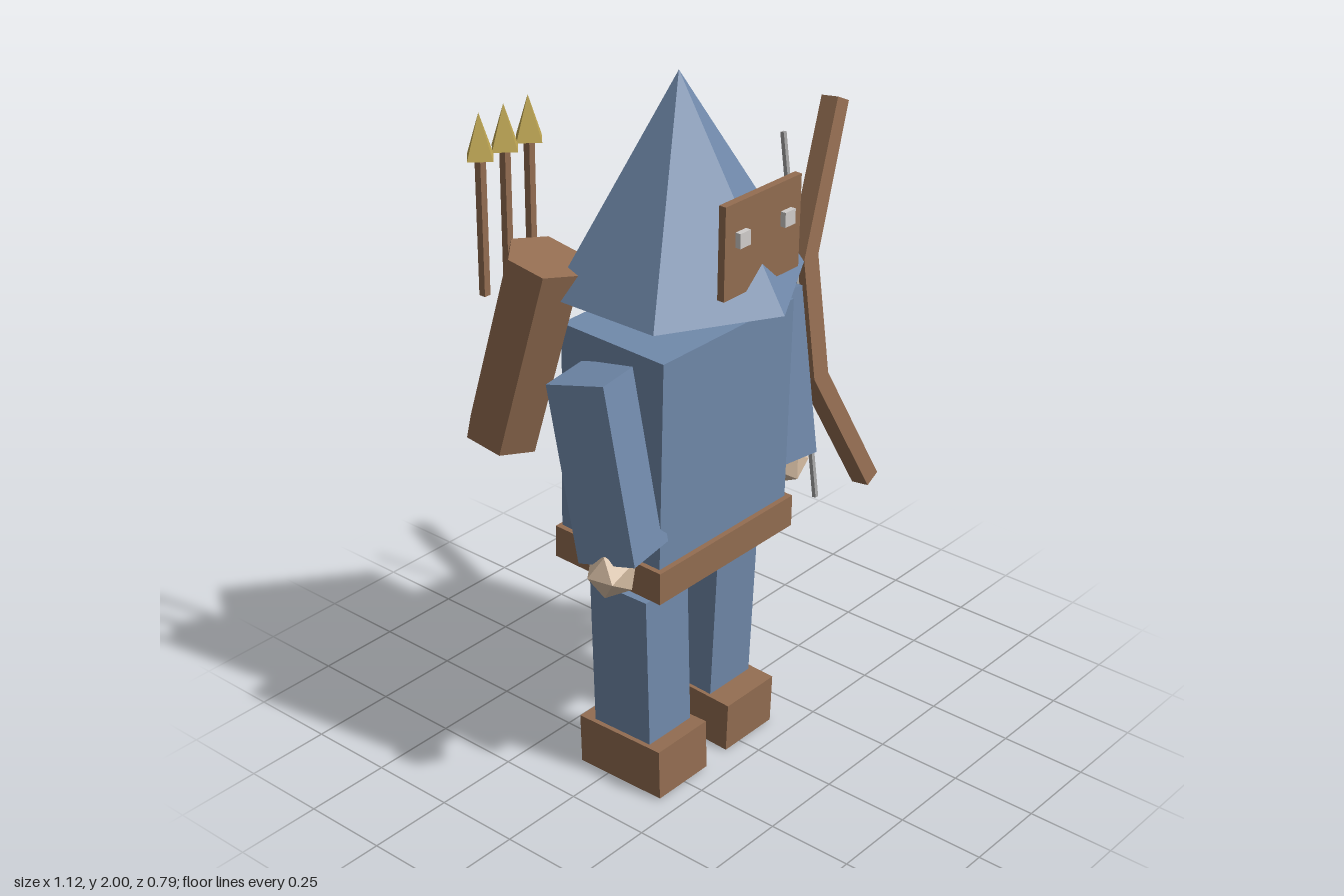
import * as THREE from 'three';

const mat = (name, color) => {
  const m = new THREE.MeshStandardMaterial({ color, flatShading: true });
  m.name = name;
  return m;
};

export function createModel() {
  const model = new THREE.Group();
  model.name = 'hoodedArcher';
  const blue = mat('blueCloth', 0x7089aa);
  const brown = mat('brownLeather', 0x936d51);
  const skin = mat('paleSkin', 0xd6bda3);
  const gold = mat('goldMetal', 0xc2a954);
  const white = mat('eyeWhite', 0xd0cdca);
  const grey = mat('stringGrey', 0xa3a3a3);

  const add = (name, geometry, material, pos, rot = [0, 0, 0]) => {
    const mesh = new THREE.Mesh(geometry, material);
    mesh.name = name;
    mesh.position.set(...pos);
    mesh.rotation.set(...rot);
    model.add(mesh);
    return mesh;
  };
  const box = (name, size, material, pos, rot) =>
    add(name, new THREE.BoxGeometry(...size), material, pos, rot);

  const midX = -0.11;

  // Body and belt, leaning slightly forward
  box('torso', [0.52, 0.6, 0.345], blue, [midX, 1.047, 0.043], [0.03, 0, 0]);
  box('belt', [0.55, 0.094, 0.37], brown, [midX, 0.701, 0.036], [0.02, 0, 0]);

  // Hood: closed six-sided cone
  add('hood', new THREE.ConeGeometry(0.345, 0.565, 6), blue, [midX, 1.7175, 0.053]);

  // Mask and eyes
  box('mask', [0.295, 0.252, 0.021], brown, [midX, 1.627, 0.315], [0.02, 0, 0]);
  for (const s of [-1, 1]) {
    box('eye', [0.04, 0.04, 0.03], white, [midX + s * 0.088, 1.655, 0.327]);
  }

  // Legs and feet, each with its own stride tilt
  box('rightLeg', [0.17, 0.46, 0.2], blue, [-0.26, 0.37, 0.04], [-0.02, 0, 0]);
  box('leftLeg', [0.17, 0.46, 0.195], blue, [0.035, 0.37, 0.026], [0.055, 0, 0]);
  box('rightFoot', [0.198, 0.15, 0.29], brown, [-0.26, 0.078, 0.046], [-0.02, 0, 0]);
  box('leftFoot', [0.198, 0.15, 0.29], brown, [0.038, 0.083, 0.038], [0.045, 0, 0]);

  // Arms and hands
  box('rightArm', [0.17, 0.49, 0.17], blue, [-0.444, 1.05, 0.1], [-0.2, 0.2, 0]);
  box('leftArm', [0.17, 0.49, 0.17], blue, [0.229, 1.05, 0.072], [-0.13, -0.2, 0]);
  add('rightHand', new THREE.IcosahedronGeometry(0.07), skin, [-0.497, 0.778, 0.155], [0, 0.2, 0]);
  add('leftHand', new THREE.IcosahedronGeometry(0.07), skin, [0.272, 0.772, 0.107], [0, -0.2, 0]);

  // Quiver: six-sided prism aimed along its slanted axis
  const top = new THREE.Vector3(-0.385, 1.53, -0.155);
  const bottom = new THREE.Vector3(-0.423, 0.995, -0.297);
  const axis = top.clone().sub(bottom);
  const quiverGeo = new THREE.CylinderGeometry(0.107, 0.105, axis.length(), 6);
  quiverGeo.rotateY(0.18);
  const quiver = add('quiver', quiverGeo, brown, top.clone().add(bottom).multiplyScalar(0.5).toArray());
  quiver.quaternion.setFromUnitVectors(new THREE.Vector3(0, 1, 0), axis.normalize());

  // Arrows
  for (const x of [-0.486, -0.399, -0.312]) {
    box('arrowShaft', [0.02, 0.38, 0.02], brown, [x, 1.615, -0.274], [0.01, 0, 0]);
    add('arrowhead', new THREE.ConeGeometry(0.046, 0.118, 4), gold, [x, 1.857, -0.272]);
  }

  // Bow: bent outline extruded, tilted so the top leans back
  const outline = [
    [0.515, 0.567], [0.56, 0.545], [0.377, 0.165], [0.377, -0.18],
    [0.56, -0.555], [0.512, -0.577], [0.315, -0.18], [0.315, 0.165],
  ];
  const bowGeo = new THREE.ExtrudeGeometry(
    new THREE.Shape(outline.map(([x, y]) => new THREE.Vector2(x, y))),
    { depth: 0.056, bevelEnabled: false });
  bowGeo.translate(0, 0, -0.028);
  add('bow', bowGeo, brown, [0, 1.2, 0.123], [-0.13, 0, 0]);
  box('bowString', [0.012, 1.06, 0.012], grey, [0.311, 1.193, 0.122], [-0.13, 0, 0]);

  return model;
}
